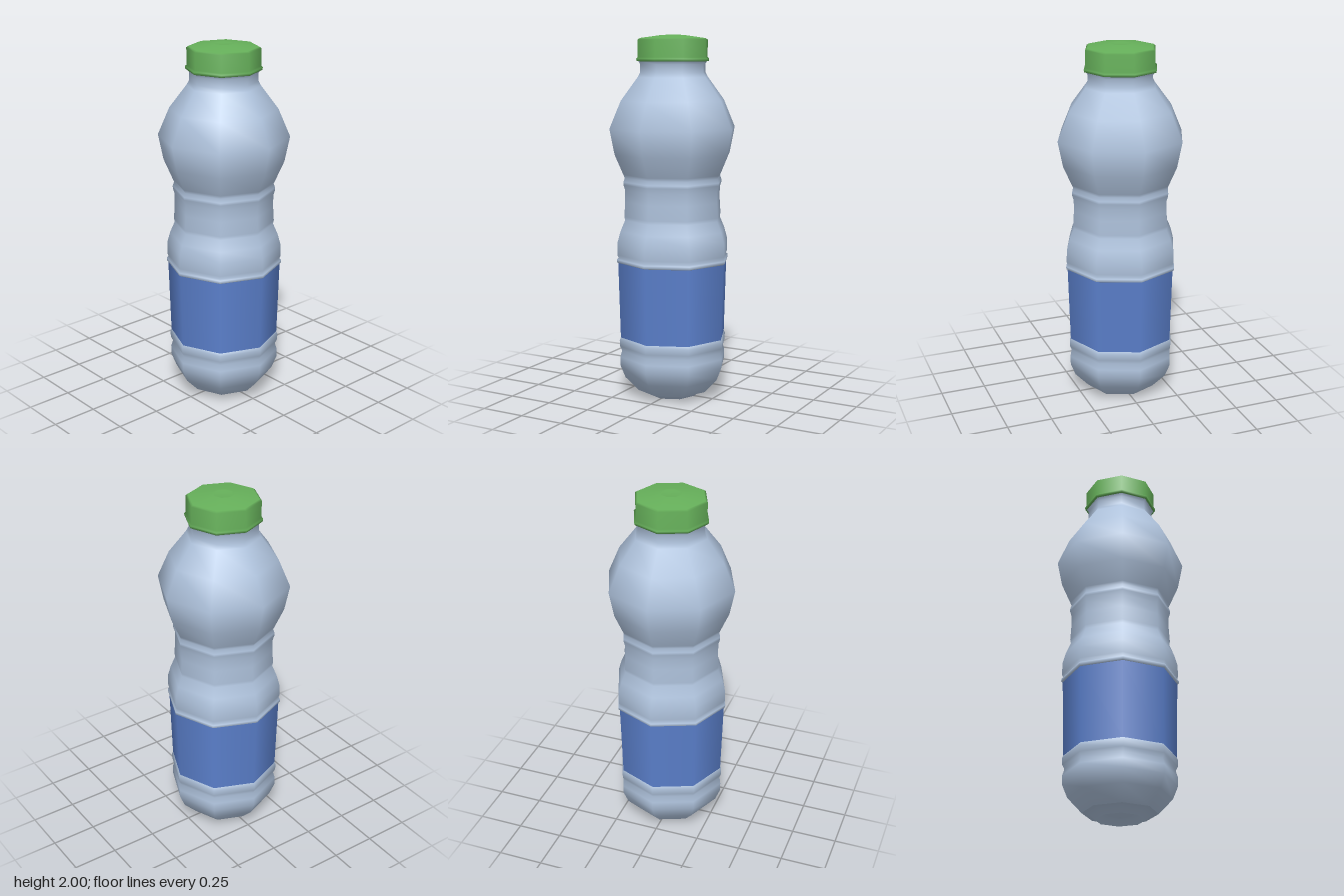
import * as THREE from 'three';

const SIDES = 8;

// Turns a [radius, height] profile (bottom to top) into an eight-sided, smooth-shaded part.
function turned(name, color, profile) {
  const points = profile.map(([r, y]) => new THREE.Vector2(r, y));
  const mesh = new THREE.Mesh(
    new THREE.LatheGeometry(points, SIDES),
    new THREE.MeshStandardMaterial({ color, side: THREE.DoubleSide })
  );
  mesh.name = name;
  return mesh;
}

export function createModel() {
  const bottle = new THREE.Group();
  bottle.name = 'bottle';
  const plastic = 0xb0c4de;

  // Foot, with a dimple and a small centre bump underneath
  bottle.add(turned('foot', plastic, [
    [0, 0.015], [0.04, 0.018], [0.06, 0.035], [0.1, 0.03],
    [0.12, 0.005], [0.138, 0.005], [0.16, 0.03], [0.2, 0.035],
  ]));

  // Rounded base with a groove below the label
  bottle.add(turned('base', plastic, [
    [0.2, 0.035], [0.275, 0.115], [0.303, 0.185], [0.304, 0.235], [0.293, 0.27],
    [0.305, 0.295], [0.307, 0.33], [0.3, 0.345],
  ]));

  // Label band
  bottle.add(turned('label', 0x5b80cc, [[0.3, 0.345], [0.312, 0.765]]));

  // Ring above the label, ribbed grip, bulging shoulder and neck
  bottle.add(turned('upperBody', plastic, [
    [0.312, 0.765], [0.32, 0.77], [0.32, 0.785], [0.31, 0.793], [0.317, 0.81],
    [0.315, 0.88], [0.298, 0.94], [0.272, 1.0], [0.276, 1.02], [0.271, 1.1],
    [0.271, 1.165], [0.28, 1.195], [0.28, 1.21], [0.272, 1.232], [0.28, 1.25],
    [0.328, 1.36], [0.356, 1.5], [0.292, 1.65], [0.198, 1.775], [0.184, 1.8],
    [0.184, 1.845], [0.195, 1.862],
  ]));

  // Screw cap with a flared lower rim and a shallow dent on top
  bottle.add(turned('cap', 0x66b05a, [
    [0.17, 1.86], [0.203, 1.86], [0.206, 1.874], [0.197, 1.882], [0.197, 1.975],
    [0.185, 1.983], [0.06, 2.0], [0.05, 1.997], [0, 1.996],
  ]));

  return bottle;
}
